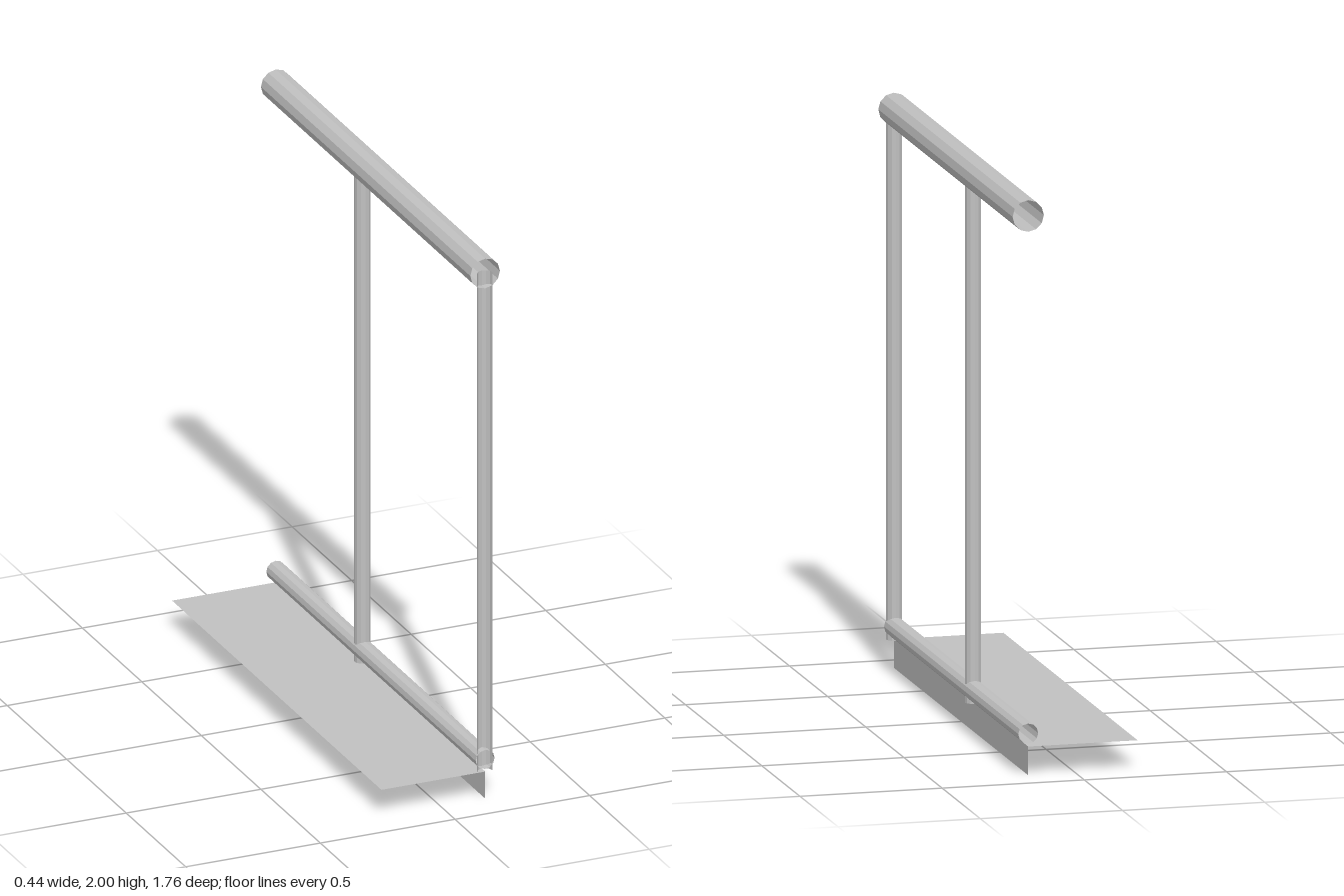
import * as THREE from 'three';

const LENGTH = 1.76;   // run along z
const RAIL_X = 0.165;  // line of posts, rails and slab edge
const SLAB_Y = 0.1;
const RAIL_Y = 1.945;

export function createModel() {
  const group = new THREE.Group();
  const metal = new THREE.MeshStandardMaterial({ color: 0xc0c0c0, flatShading: true, side: THREE.DoubleSide });
  metal.name = 'greyMetal';

  const add = (name, geometry, x, y, z) => {
    const mesh = new THREE.Mesh(geometry, metal);
    mesh.name = name;
    mesh.position.set(x, y, z);
    group.add(mesh);
  };

  // Open twelve-sided tubes running along z
  const rail = (name, radius, y) => add(name,
    new THREE.CylinderGeometry(radius, radius, LENGTH, 12, 1, true).rotateX(Math.PI / 2), RAIL_X, y, 0);
  rail('handrail', 0.055, RAIL_Y);
  rail('lowerRail', 0.035, 0.145);

  // Upright tubes from the slab to the handrail's axis
  const post = (name, z, sides, start, sweep) => add(name,
    new THREE.CylinderGeometry(0.028, 0.028, RAIL_Y - SLAB_Y, sides, 1, true, start, sweep),
    RAIL_X, (RAIL_Y + SLAB_Y) / 2, z);
  post('middlePost', -0.154, 12, 0, Math.PI * 2);
  // The end post is halved by the front plane
  post('frontHalfPost', LENGTH / 2, 6, Math.PI / 2, Math.PI);

  // Thin floor sheet with a fascia dropping from its edge
  const floorWidth = RAIL_X + 0.22;
  add('floorSheet', new THREE.PlaneGeometry(floorWidth, LENGTH).rotateX(-Math.PI / 2),
    RAIL_X - floorWidth / 2, SLAB_Y, 0);
  add('edgeFascia', new THREE.PlaneGeometry(LENGTH, SLAB_Y).rotateY(Math.PI / 2), RAIL_X, SLAB_Y / 2, 0);

  return group;
}
